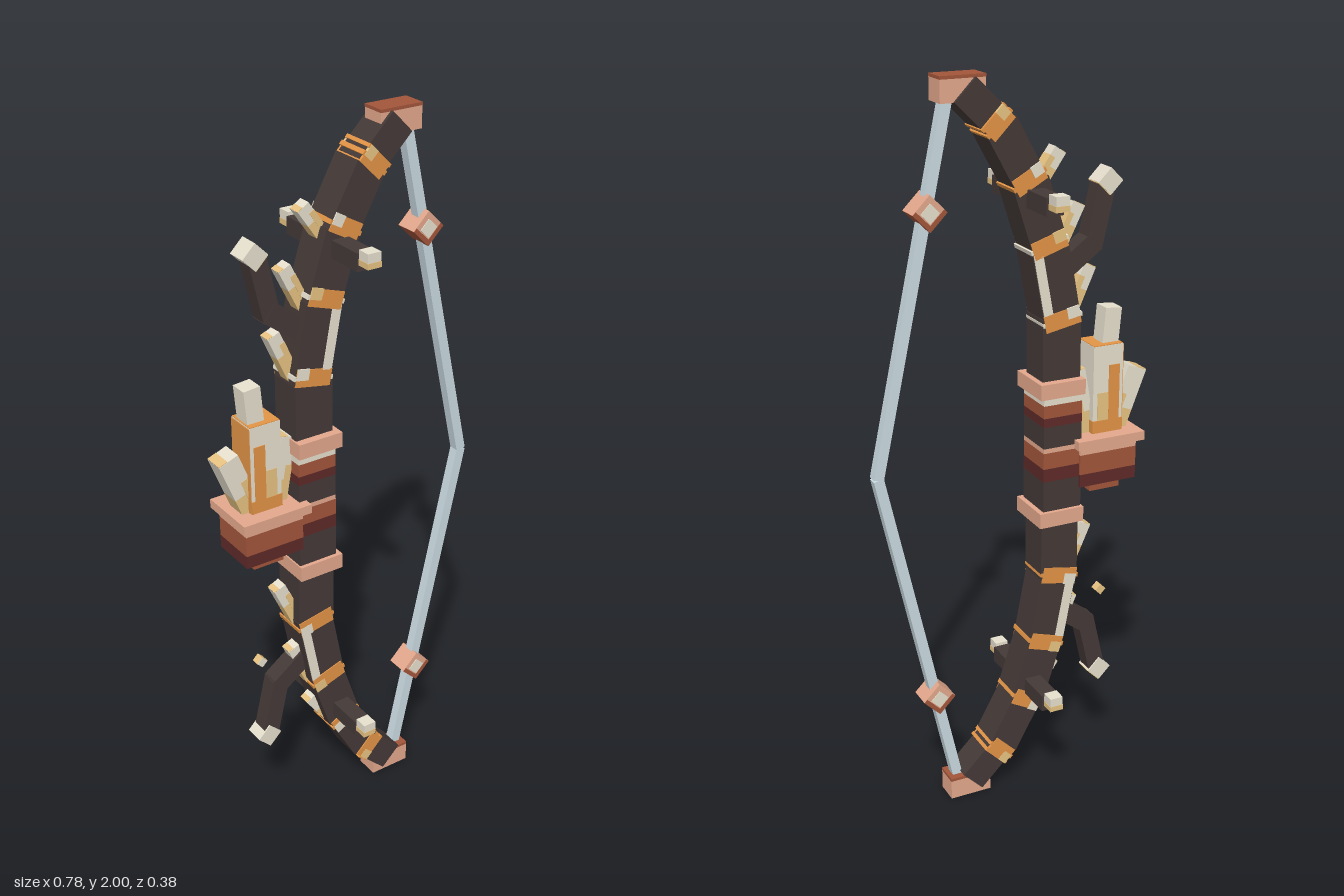
import * as THREE from 'three';

const mat = (name, color) => {
  const m = new THREE.MeshStandardMaterial({ color });
  m.name = name;
  return m;
};

export function createModel() {
  const bark = mat('dark bark', 0x443937);
  const maroon = mat('maroon', 0x5e2a29);
  const rust = mat('rust', 0xa2553b);
  const copper = mat('pale copper', 0xe4a88c);
  const cream = mat('cream', 0xe8e1cf);
  const tan = mat('tan', 0xebc684);
  const orange = mat('amber', 0xe39446);
  const steel = mat('string grey', 0xcadbe2);

  const bow = new THREE.Group();
  bow.name = 'bow';

  // Box given by centre, size and a turn about z
  const box = (name, m, x, y, z, w, h, d, turn = 0) => {
    const mesh = new THREE.Mesh(new THREE.BoxGeometry(w, h, d), m);
    mesh.name = name;
    mesh.position.set(x, y, z);
    mesh.rotation.z = turn;
    bow.add(mesh);
    return mesh;
  };
  // Box running from point a to point b in the xy plane, shifted sideways by off
  const beam = (name, m, a, b, w, d, off = 0) => {
    const dx = b[0] - a[0], dy = b[1] - a[1], len = Math.hypot(dx, dy);
    return box(name, m, (a[0] + b[0]) / 2 + off * dy / len, (a[1] + b[1]) / 2 - off * dx / len, 0,
      w, len, d, Math.atan2(-dx, dy));
  };
  const mix = (a, b, t) => [a[0] + (b[0] - a[0]) * t, a[1] + (b[1] - a[1]) * t];
  // Thorn or crystal: tan root, cream point, tan streak on the inner half and on part of the end
  const shard = (name, a, b, w, d, split) => {
    const c = mix(a, b, split);
    beam(name + 'Root', tan, a, c, w, d);
    beam(name + 'Point', cream, c, b, w, d);
    beam(name + 'Streak', tan, a, mix(a, b, split + 0.2), w * 0.45, d + 0.002, w * 0.29);
    beam(name + 'End', tan, mix(a, b, 0.985), mix(a, b, 1.01), w * 0.45, d - 0.002, -w * 0.27);
  };

  // Straight middle of the stave
  box('stave', bark, -0.125, 1.005, 0, 0.11, 0.74, 0.095);

  // Curved limbs, mirrored about the middle height
  const limb = [[-0.128, 1.36], [-0.09, 1.56], [-0.035, 1.73], [0.045, 1.875], [0.137, 1.966]];
  const widths = [0.105, 0.1, 0.09, 0.08];
  for (const s of [1, -1]) {
    const p = limb.map(([x, y]) => [x, 1.005 + s * (y - 1.005)]);
    const side = s > 0 ? 'upper' : 'lower';
    for (let i = 0; i < 4; i++) {
      const a = p[i], b = p[i + 1], w = widths[i];
      const len = Math.hypot(b[0] - a[0], b[1] - a[1]);
      const at = (d) => mix(a, b, d / len);
      beam(side + 'Limb', bark, mix(a, b, -0.06), b, w, i === 3 ? 0.084 : 0.093);
      // Painted binding on front and back, with a pale outer end, and thin lines round the sides
      beam(side + 'Binding', orange, at(-0.012), at(0.034), w - 0.002, 0.099);
      beam(side + 'BindingEnd', i % 2 ? tan : cream, at(0.006), at(0.036), w * 0.34, 0.101, -s * w * 0.32);
      beam(side + 'BindingLine', s > 0 && i < 2 ? cream : orange, at(0.004), at(0.016), w + 0.01, 0.098);
      if (i === 3) beam(side + 'BindingLine', orange, at(0.026), at(0.036), w + 0.006, 0.098);
    }
    // Pale strip painted along the first limb section
    beam(side + 'Strip', cream, mix(p[0], p[1], 0.15), mix(p[0], p[1], 0.98), 0.026, 0.099, 0.037);

    // Tip cap with a rust upper face
    box(side + 'Cap', copper, 0.14, s > 0 ? 1.966 : 0.03, 0, 0.12, 0.06, 0.066);
    box(side + 'CapTop', rust, 0.14, s > 0 ? 1.996 : 0.06, 0, 0.121, 0.008, 0.067);

    // String and its diamond bead, rust along the lower edges
    beam(side + 'String', steel, [0.378, 1.002], [0.172, 1.005 + s * 0.945], 0.028, 0.028);
    const by = 1.005 + s * 0.673;
    box(side + 'Bead', copper, 0.23, by, 0, 0.065, 0.065, 0.064, Math.PI / 4);
    box(side + 'BeadFace', cream, 0.23, by, 0, 0.036, 0.036, 0.068, Math.PI / 4);
    for (const k of [1, -1]) {
      box(side + 'BeadEdge', rust, 0.23 + k * 0.019, by - 0.019, 0, 0.064, 0.012, 0.066, k * Math.PI / 4);
    }

    // Forked branch with a pale tip, tan underneath
    const my = (y) => 1.005 + s * (y - 1.005);
    beam(side + 'BranchRoot', bark, [-0.125, my(1.48)], [-0.235, my(1.56)], 0.055, 0.05);
    beam(side + 'Branch', bark, [-0.225, my(1.54)], [-0.262, my(1.7)], 0.05, 0.048);
    box(side + 'BranchTip', cream, -0.27, my(1.71), 0, 0.05, 0.05, 0.056, Math.PI / 4);
    box(side + 'BranchTipUnder', tan, -0.27 + 0.0175, my(1.71) - 0.0175, 0, 0.048, 0.004, 0.054, Math.PI / 4);

    // Cross peg with pale ends
    const py = s > 0 ? 1.693 : 0.316;
    box(side + 'Peg', bark, -0.046, py, 0, 0.048, 0.046, 0.306);
    for (const z of [-1, 1]) {
      box(side + 'PegTip', cream, -0.047, py + 0.013, z * 0.172, 0.037, 0.038, 0.038);
      box(side + 'PegTipBase', tan, -0.047, py + 0.001, z * 0.172, 0.039, 0.015, 0.04);
    }

    // Grip ring
    box(side + 'GripRing', copper, -0.12, 1.005 + s * 0.182, 0, 0.13, 0.042, 0.14);
  }

  // Grip wrapping, from the bottom up: material, bottom, top
  const wraps = [[bark, 0.84, 0.93], [maroon, 0.93, 0.967], [rust, 0.967, 1.012], [copper, 1.012, 1.025],
    [bark, 1.025, 1.085], [maroon, 1.085, 1.11], [rust, 1.11, 1.145], [cream, 1.145, 1.168]];
  for (const [m, y0, y1] of wraps) {
    box('gripWrap', m, -0.125, (y0 + y1) / 2, 0, 0.112, y1 - y0, 0.118);
  }

  // Thorns on the outer side
  const thorns = [
    [[-0.06, 1.70], [-0.13, 1.8]], [[-0.12, 1.53], [-0.185, 1.66]], [[-0.155, 1.35], [-0.22, 1.495]],
    [[-0.155, 0.62], [-0.22, 0.765]], [[-0.125, 0.43], [-0.18, 0.555]], [[-0.05, 0.25], [-0.125, 0.36]],
  ];
  for (const [a, b] of thorns) shard('thorn', a, b, 0.036, 0.036, 0.6);

  // Loose ember
  box('ember', tan, -0.278, 0.545, 0, 0.023, 0.023, 0.023, Math.PI / 4);
  box('emberFace', cream, -0.278, 0.545, 0.01, 0.022, 0.022, 0.006, Math.PI / 4);

  // Fire cup
  box('cupRim', copper, -0.26, 1.025, 0, 0.2, 0.025, 0.17);
  box('cupUpper', copper, -0.26, 1.002, 0, 0.17, 0.022, 0.132);
  box('cupBody', rust, -0.26, 0.963, 0, 0.17, 0.056, 0.132);
  box('cupLower', maroon, -0.26, 0.917, 0, 0.17, 0.036, 0.132);
  box('cupBase', rust, -0.265, 0.885, 0, 0.09, 0.03, 0.08);

  // Crystal flames, amber on the outer side and stepping down to tan across the face
  box('mainFlame', cream, -0.267, 1.155, 0, 0.088, 0.25, 0.086);
  box('mainFlameOuterSide', orange, -0.31, 1.155, 0, 0.006, 0.246, 0.084);
  box('mainFlameTop', orange, -0.267, 1.28, 0, 0.086, 0.004, 0.084);
  box('mainFlameGlow', orange, -0.285, 1.125, 0, 0.032, 0.2, 0.09);
  box('mainFlameFoot', orange, -0.267, 1.05, 0, 0.09, 0.045, 0.09);
  box('mainFlameTan', tan, -0.253, 1.1, 0, 0.034, 0.1, 0.089);
  beam('flamePeak', cream, [-0.28, 1.26], [-0.29, 1.375], 0.048, 0.05);
  shard('leftFlame', [-0.295, 1.02], [-0.365, 1.2], 0.058, 0.058, 0.4);
  shard('rightFlame', [-0.222, 1.02], [-0.187, 1.215], 0.042, 0.05, 0.4);

  return bow;
}
